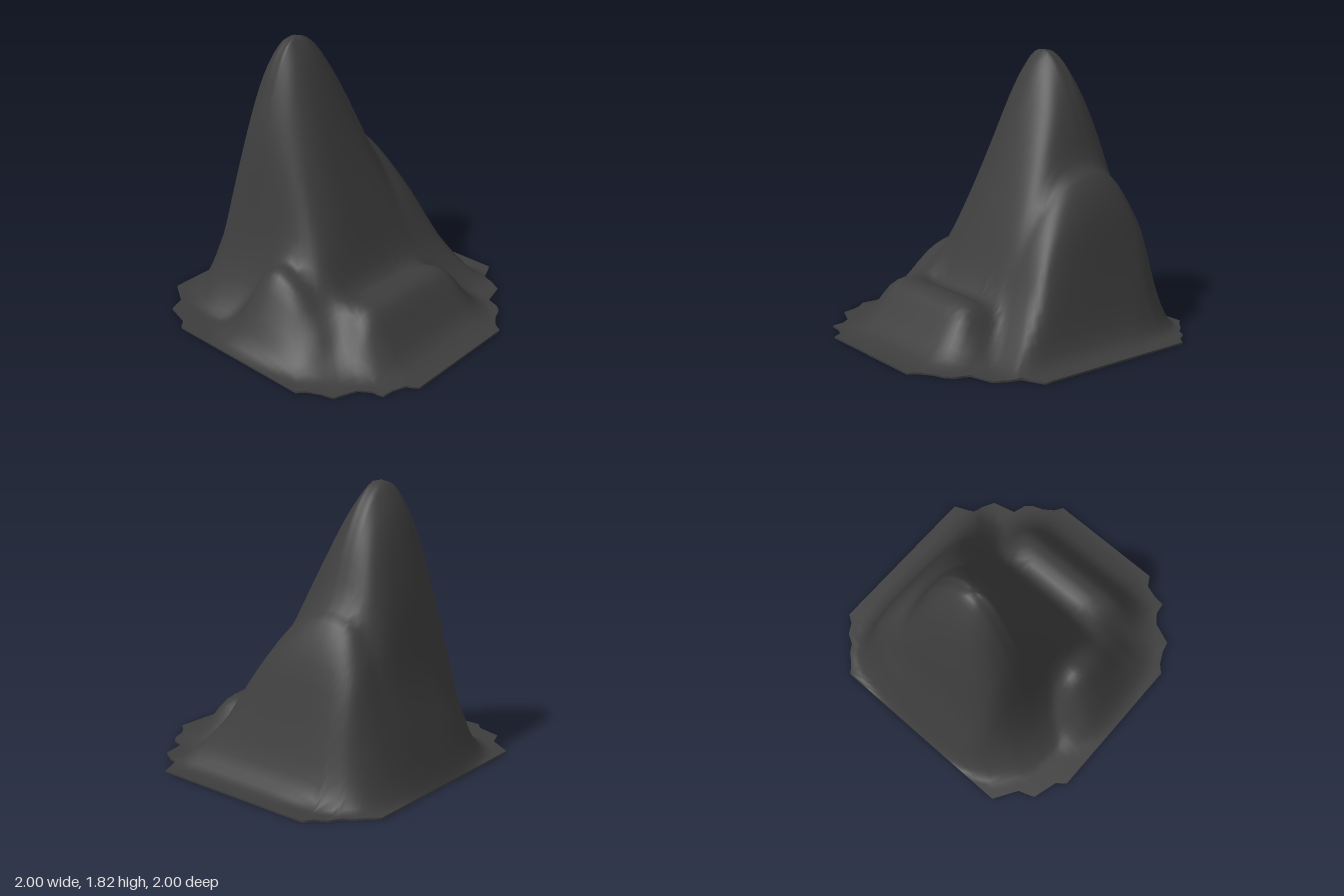
import * as THREE from 'three';

// Smooth curve through [position, value] pairs, constant beyond both ends
function curve(points) {
  const slope = (i) => {
    const a = points[Math.max(i - 1, 0)], b = points[Math.min(i + 1, points.length - 1)];
    return (b[1] - a[1]) / (b[0] - a[0]);
  };
  return (x) => {
    if (x <= points[0][0]) return points[0][1];
    for (let i = 0; i < points.length - 1; i++) {
      const [x0, y0] = points[i], [x1, y1] = points[i + 1];
      if (x > x1) continue;
      const w = x1 - x0, t = (x - x0) / w, s = 1 - t;
      const y = y0 * s * s * (1 + 2 * t) + y1 * t * t * (3 - 2 * t)
        + w * t * s * (slope(i) * s - slope(i + 1) * t);
      return Math.max(y, 0);
    }
    return points[points.length - 1][1];
  };
}

const PEAK = { x: -0.4, y: 1.82, z: 0.05 };
const FLOOR = 0.012;

// Main peak, as fractions of its height
const peakX = curve([[-1, 0], [-0.89, 0.175], [-0.78, 0.375], [-0.69, 0.63], [-0.58, 0.87], [-0.47, 0.985],
  [-0.4, 1], [-0.37, 0.998], [-0.27, 0.918], [-0.16, 0.78], [0, 0.55], [0.1, 0.41], [0.24, 0.22],
  [0.3, 0.165], [0.37, 0.11], [0.47, 0.05], [0.58, 0]]);
const peakZ = curve([[-0.95, 0], [-0.87, 0.015], [-0.79, 0.065], [-0.68, 0.25], [-0.58, 0.45], [-0.47, 0.57],
  [-0.37, 0.62], [-0.26, 0.8], [-0.16, 0.91], [-0.05, 0.978], [0.05, 1], [0.16, 0.973], [0.26, 0.874],
  [0.38, 0.66], [0.49, 0.33], [0.58, 0.16], [0.68, 0.06], [0.79, 0]]);

// Low ridge on the left side
const ridgeX = curve([[0.1, 0], [0.28, 0.2], [0.37, 0.29], [0.47, 0.335], [0.58, 0.315], [0.68, 0.19],
  [0.79, 0.06], [0.9, 0.02], [1, 0]]);
const ridgeZ = curve([[-0.65, 0], [-0.55, 0.18], [-0.47, 0.47], [-0.38, 0.83], [-0.3, 0.96], [-0.15, 1],
  [0.38, 1], [0.47, 0.87], [0.56, 0.54], [0.65, 0.22], [0.75, 0.05], [0.85, 0]]);

// Foothill at the front
const hillX = curve([[-0.48, 0], [-0.37, 0.06], [-0.27, 0.19], [-0.16, 0.4], [-0.05, 0.475], [0.05, 0.455],
  [0.16, 0.39], [0.27, 0.29], [0.37, 0.2], [0.47, 0.1], [0.58, 0.03], [0.68, 0]]);
const hillZ = curve([[0.2, 0], [0.4, 0.85], [0.52, 1], [0.66, 1], [0.79, 0.55], [0.9, 0.15], [1, 0]]);

// Height of the ground: round at the front of the peak, squarer at its back
function heightAt(x, z) {
  const p = Math.max(peakX(x), 1e-4), q = Math.max(peakZ(z), 1e-4);
  const front = x > PEAK.x ? 1.2 : 0.1, back = x > PEAK.x ? 2.5 : 1.6;
  const k = z < PEAK.z ? back : front;
  const peak = PEAK.y * (p ** -k + q ** -k - 1) ** (-1 / k);
  // The ridge and the foothill run into each other
  const low = Math.hypot(ridgeX(x) * ridgeZ(z), hillX(x) * hillZ(z));
  // Corners of the base flatten out
  const fade = 1 - THREE.MathUtils.smoothstep(Math.hypot(x, z), 0.9, 1.2);
  return Math.max(FLOOR, fade * (peak ** 5 + low ** 5) ** 0.2);
}

// Ragged outline of the base, corner by corner
const CORNERS = [
  [-0.68, -1], [0.47, -1], [0.53, -0.86], [0.6, -0.84], [0.69, -0.79], [0.73, -0.63], [0.82, -0.6],
  [0.86, -0.56], [0.89, -0.48], [0.94, -0.41], [1, -0.37], [1, 0.47], [0.93, 0.51], [0.9, 0.6],
  [0.89, 0.68], [0.81, 0.69], [0.74, 0.74], [0.68, 0.89], [0.6, 0.91], [0.52, 0.95], [0.47, 1],
  [-0.58, 1], [-0.63, 0.94], [-0.8, 0.89], [-0.84, 0.78], [-0.92, 0.73], [-1, 0.68], [-1, -0.68],
  [-0.94, -0.73], [-0.89, -0.79], [-0.83, -0.83], [-0.79, -0.9], [-0.72, -0.94],
];

// Outline with its edges divided into short steps
function outline() {
  const points = [];
  CORNERS.forEach(([x, z], i) => {
    const [nx, nz] = CORNERS[(i + 1) % CORNERS.length];
    const steps = Math.ceil(Math.hypot(nx - x, nz - z) / 0.06);
    for (let s = 0; s < steps; s++) points.push([x + (nx - x) * s / steps, z + (nz - z) * s / steps]);
  });
  return points;
}

function build(positions, indices) {
  const g = new THREE.BufferGeometry();
  g.setAttribute('position', new THREE.Float32BufferAttribute(positions, 3));
  g.setIndex(indices);
  g.computeVertexNormals();
  return g;
}

// Rings that widen from the peak to the outline
function terrainGeometry(rim) {
  const rings = 28, n = rim.length;
  const positions = [PEAK.x, heightAt(PEAK.x, PEAK.z), PEAK.z], indices = [];
  for (let r = 1; r <= rings; r++) {
    rim.forEach(([rx, rz], i) => {
      const t = r / rings, x = PEAK.x + (rx - PEAK.x) * t, z = PEAK.z + (rz - PEAK.z) * t;
      positions.push(x, heightAt(x, z), z);
      const a = 1 + (r - 1) * n + i, b = 1 + (r - 1) * n + (i + 1) % n;
      if (r === 1) indices.push(0, b, a);
      else indices.push(a - n, b - n, b, a - n, b, a);
    });
  }
  return build(positions, indices);
}

// Thin wall from the edge of the terrain down to the ground
function rimGeometry(rim) {
  const n = rim.length, positions = [], indices = [];
  rim.forEach(([x, z], i) => {
    positions.push(x, heightAt(x, z), z, x, 0, z);
    const a = 2 * i, b = 2 * ((i + 1) % n);
    indices.push(a, b, b + 1, a, b + 1, a + 1);
  });
  return build(positions, indices);
}

// Flat underside
function undersideGeometry() {
  const shape = new THREE.Shape(CORNERS.map(([x, z]) => new THREE.Vector2(x, z)));
  return new THREE.ShapeGeometry(shape).rotateX(Math.PI / 2);
}

export function createModel() {
  const group = new THREE.Group();
  group.name = 'mountain';
  const rock = new THREE.MeshStandardMaterial({ color: 0x3d3d3d });
  rock.name = 'dark grey rock';
  const rim = outline();
  const parts = { terrain: terrainGeometry(rim), rim: rimGeometry(rim), underside: undersideGeometry() };
  for (const [name, geometry] of Object.entries(parts)) {
    const mesh = new THREE.Mesh(geometry, rock);
    mesh.name = name;
    group.add(mesh);
  }
  return group;
}
